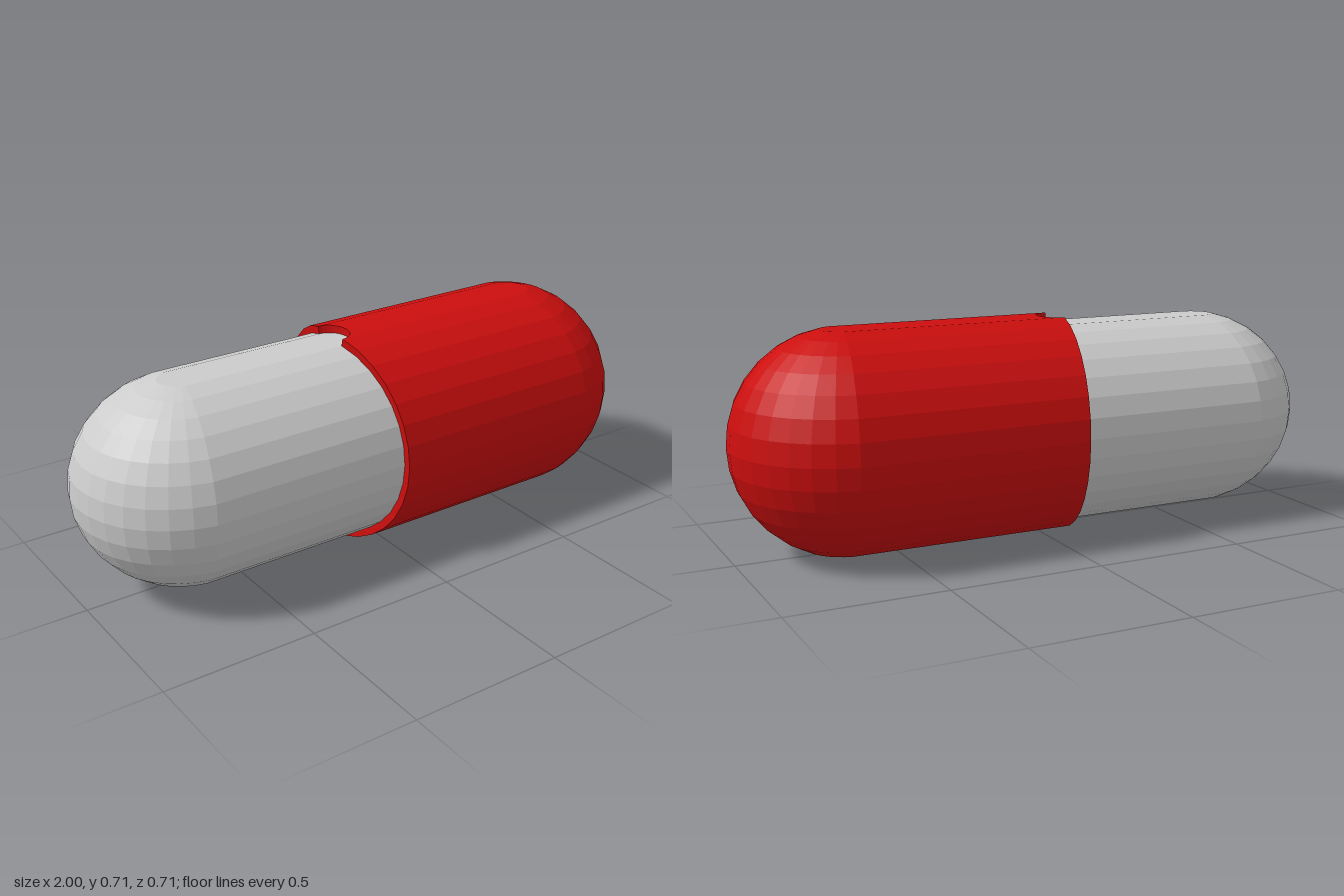
import * as THREE from 'three';

const R = 0.3604;            // dome radius
const CX = 0.64;             // dome centre along x
const STEP = Math.PI / 16;   // facet angle
const NOTCH = 14;            // segments of the notch arc

// Cross-section loop: { y, z, x }, where x is the dome's start; flat top and bottom are subdivided
function section() {
  const pts = [];
  const w = R * Math.sin(STEP) * Math.cos(STEP);
  for (const side of [1, -1]) {
    for (let i = 1; i <= 15; i++) {
      const r = R * Math.sin(i * STEP);
      pts.push({ y: side * R * Math.cos(i * STEP), z: side * r * Math.cos(STEP), x: CX + r * Math.sin(STEP) });
    }
    for (let j = 1; j < NOTCH; j++) {
      pts.push({
        y: -side * R * Math.cos(STEP),
        z: side * w * Math.cos(Math.PI * j / NOTCH),
        x: CX + R * Math.sin(STEP) ** 2,
      });
    }
  }
  return pts;
}

// Straight sleeve from an edge x = edge(z) to the dome, with a rim wall going inward
function sleeve(edge, inner) {
  const pts = section();
  const pos = [];
  const quad = (a, b, c, d) => pos.push(...a, ...b, ...c, ...a, ...c, ...d);
  pts.forEach((p, i) => {
    const q = pts[(i + 1) % pts.length];
    const [a, b] = [p, q].map((v) => [edge(v.z), v.y, v.z]);
    const [c, d] = [p, q].map((v) => [edge(v.z), v.y * inner, v.z * inner]);
    quad(a, b, [q.x, q.y, q.z], [p.x, p.y, p.z]);
    quad(a, c, d, b);
  });
  const geo = new THREE.BufferGeometry();
  geo.setAttribute('position', new THREE.Float32BufferAttribute(pos, 3));
  geo.computeVertexNormals();
  return geo;
}

// Faceted dome with a flattened top and bottom
function dome() {
  const profile = [new THREE.Vector2(0, -R * Math.cos(STEP))];
  for (let i = 15; i >= 1; i--) {
    profile.push(new THREE.Vector2(R * Math.sin(i * STEP), R * Math.cos(i * STEP)));
  }
  profile.push(new THREE.Vector2(0, R * Math.cos(STEP)));
  return new THREE.LatheGeometry(profile, 14, STEP, Math.PI - 2 * STEP).translate(CX, 0, 0);
}

function half(name, color, edge, inner) {
  const group = new THREE.Group();
  group.name = name;
  const material = new THREE.MeshStandardMaterial({ color, flatShading: true, side: THREE.DoubleSide });
  const parts = { Sleeve: sleeve(edge, inner), Dome: dome() };
  for (const [part, geo] of Object.entries(parts)) {
    const mesh = new THREE.Mesh(geo, material);
    mesh.name = name + part;
    group.add(mesh);
  }
  return group;
}

export function createModel() {
  const model = new THREE.Group();
  model.name = 'capsule';

  // Cap edge slants towards the middle, with a round notch at the top and bottom
  const w = R * Math.sin(STEP) * Math.cos(STEP);
  const side = R * Math.cos(STEP);
  const capEdge = (z) => {
    const t = Math.abs(z);
    if (t < w) return -0.1 + 0.06 * Math.sqrt(1 - (t / w) ** 2);
    return -0.1 + 0.057 * (t - w) / (side - w);
  };
  const cap = half('cap', 0xcc0e0e, capEdge, 0.925);

  // Slimmer body, turned to point the other way and pushed into the cap
  const body = half('body', 0xcccccc, () => -0.15, 0);
  body.scale.set(1, 0.93, 0.93);
  body.rotation.y = Math.PI;

  model.add(cap, body);
  model.position.y = R * Math.cos(STEP);
  return model;
}
